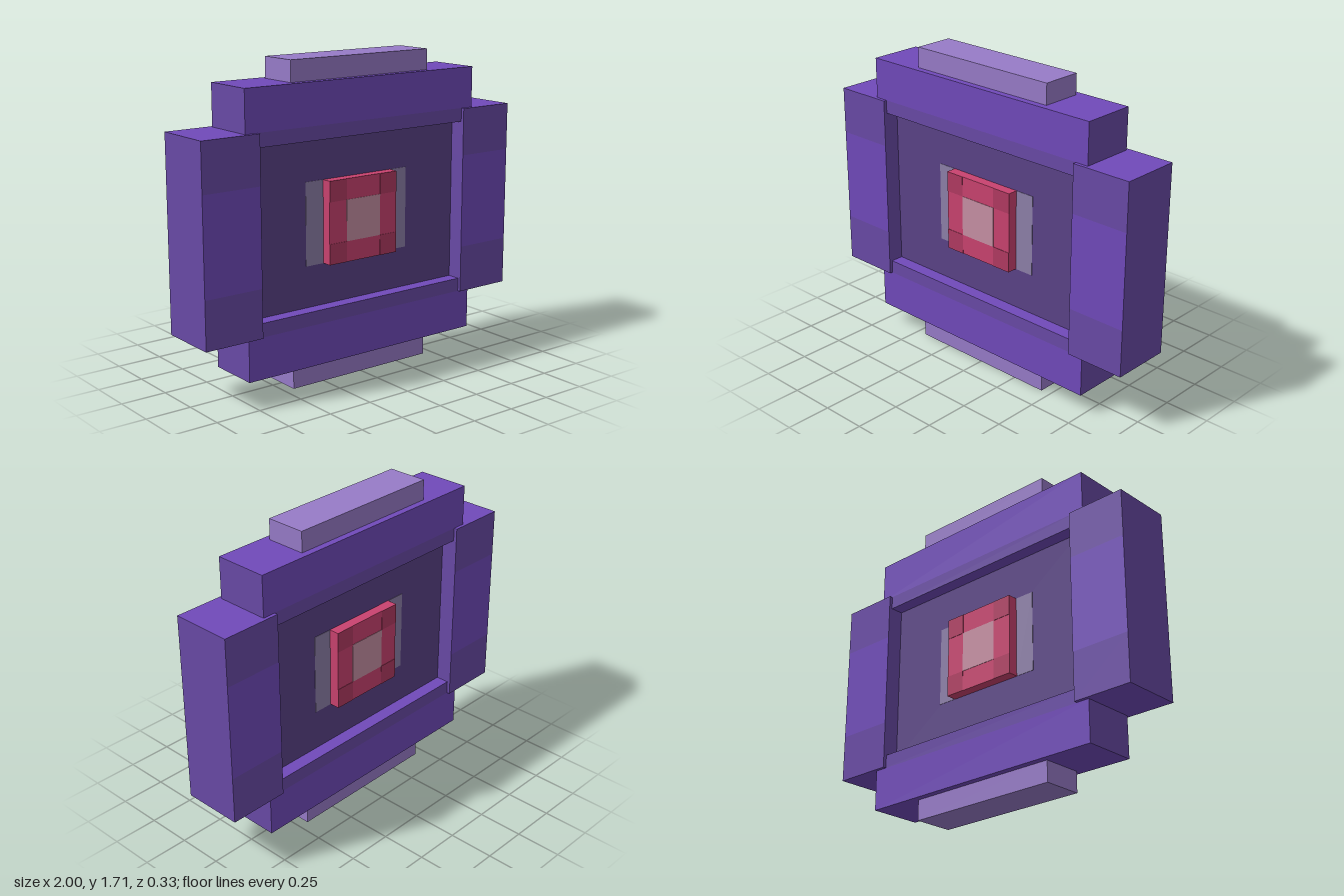
import * as THREE from 'three';

const mat = (name, color) => {
  const m = new THREE.MeshStandardMaterial({ color });
  m.name = name;
  return m;
};

export function createModel() {
  const bright = mat('bright purple', 0x704aba);
  const dull = mat('dull purple', 0x694aa6);
  const dark = mat('dark purple', 0x5a4287);
  const lilac = mat('lilac', 0x977bc8);
  const grey = mat('grey lilac', 0x8d7fa9);
  const red = mat('gem red', 0xc9426f);
  const deepRed = mat('deep gem red', 0xb13a62);
  const pink = mat('pale pink', 0xc78fa4);

  const model = new THREE.Group();
  model.name = 'framedGem';
  const CY = 0.853; // height of the centre

  // Box centred on z = 0 unless z is given; y is measured from the centre
  const box = (name, w, h, d, x, y, material, z = 0) => {
    const mesh = new THREE.Mesh(new THREE.BoxGeometry(w, h, d), material);
    mesh.name = name;
    mesh.position.set(x, CY + y, z);
    model.add(mesh);
  };

  // Face order: +x, -x, +y, -y, +z, -z
  const beamOuter = [dull, dull, bright, bright, bright, bright];
  const blockEnd = [dull, dull, bright, bright, dull, dull];

  // Recessed centre panel
  box('panel', 1.4, 0.95, 0.148, 0, 0, dark);

  for (const s of [1, -1]) {
    const end = s > 0 ? 'top' : 'bottom';
    // Horizontal beam, with a duller strip along its inner edge
    box(end + 'Beam', 1.481, 0.222, 0.296, 0, s * 0.63, beamOuter);
    box(end + 'BeamInnerStrip', 1.481, 0.074, 0.296, 0, s * 0.482, blockEnd);
    // Narrow cap on the beam
    box(end + 'Cap', 0.889, 0.112, 0.222, 0, s * 0.797, lilac);

    // Side block in three bands
    const side = s > 0 ? 'left' : 'right';
    const x = s * 0.8333;
    box(side + 'BlockMiddle', 0.3333, 0.518, 0.333, x, 0, beamOuter);
    for (const v of [1, -1]) {
      box(side + 'Block' + (v > 0 ? 'Top' : 'Bottom'), 0.3333, 0.259, 0.333, x, v * 0.3885, blockEnd);
    }

    // Gem on the front and back, flanked by pale bars
    const face = s > 0 ? 'front' : 'back';
    box(face + 'Gem', 0.444, 0.444, 0.056, 0, 0, red, s * 0.102);
    box(face + 'GemHighlight', 0.222, 0.222, 0.004, 0, 0, pink, s * 0.13);
    for (const h of [1, -1]) {
      box(face + 'PaleBar', 0.111, 0.444, 0.004, h * 0.2775, 0, grey, s * 0.074);
      for (const v of [1, -1]) {
        box(face + 'GemCorner', 0.111, 0.111, 0.004, h * 0.1665, v * 0.1665, deepRed, s * 0.13);
      }
    }
  }
  return model;
}
